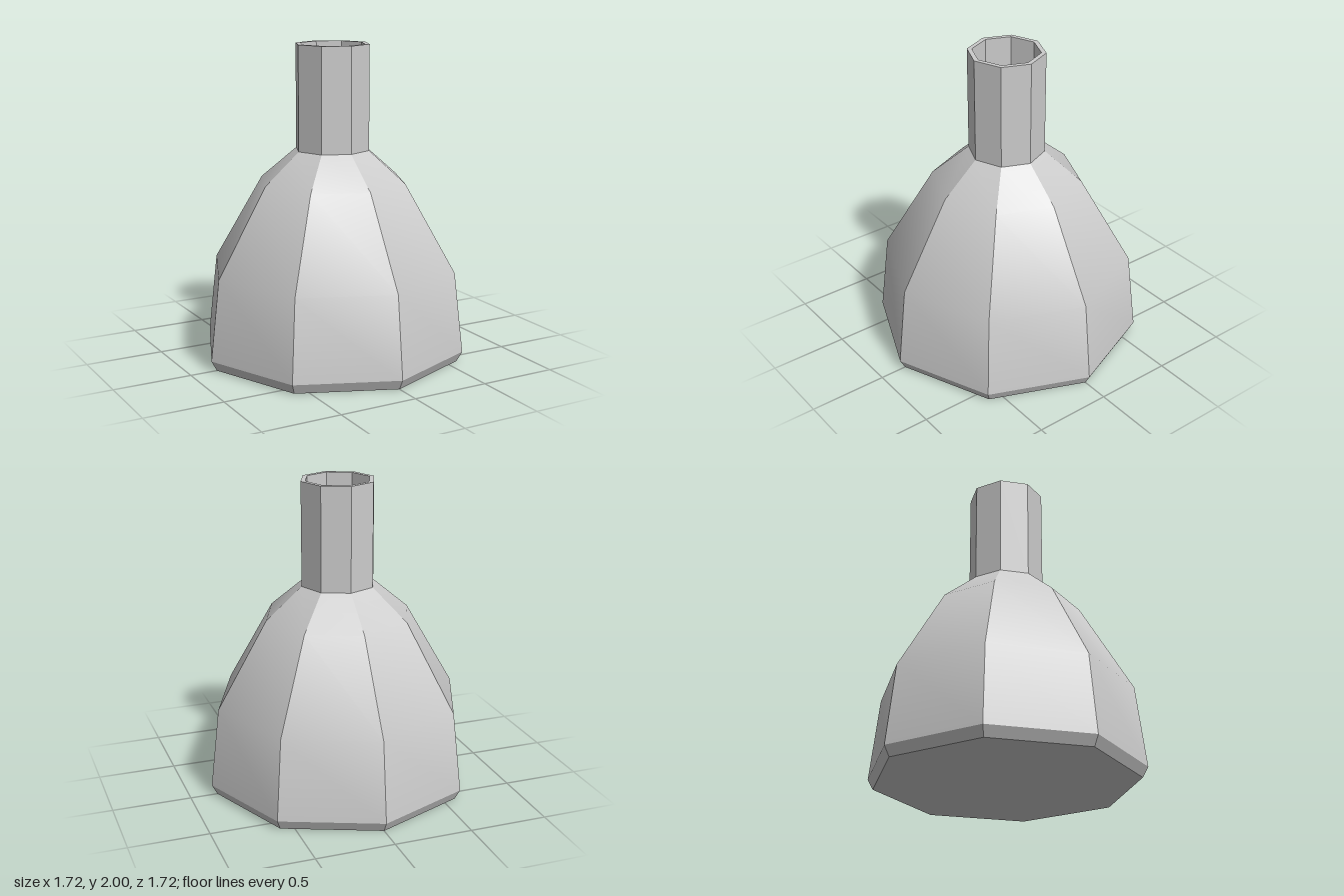
import * as THREE from 'three';
import { toCreasedNormals } from 'three/addons/utils/BufferGeometryUtils.js';

const SIDES = 8;

// Eight-sided turned part from [radius, height] points, soft only across shallow bends
function turned(name, profile, material) {
  const points = profile.map(([r, y]) => new THREE.Vector2(r, y));
  const geometry = toCreasedNormals(new THREE.LatheGeometry(points, SIDES), Math.PI / 6);
  const mesh = new THREE.Mesh(geometry, material);
  mesh.name = name;
  return mesh;
}

export function createModel() {
  const material = new THREE.MeshStandardMaterial({ color: 0xcccccc });
  const flask = new THREE.Group();
  flask.name = 'flask';

  // Closed base with a bevelled foot, tapering walls and a shoulder
  flask.add(turned('body', [
    [0, 0], [0.825, 0], [0.86, 0.065], [0.8, 0.58], [0.475, 1.135], [0.24, 1.335],
  ], material));

  // Straight neck with a thin rim and a hollow inside
  flask.add(turned('neck', [
    [0.24, 1.335], [0.24, 2], [0.21, 2], [0.21, 1.335], [0, 1.335],
  ], material));

  return flask;
}
